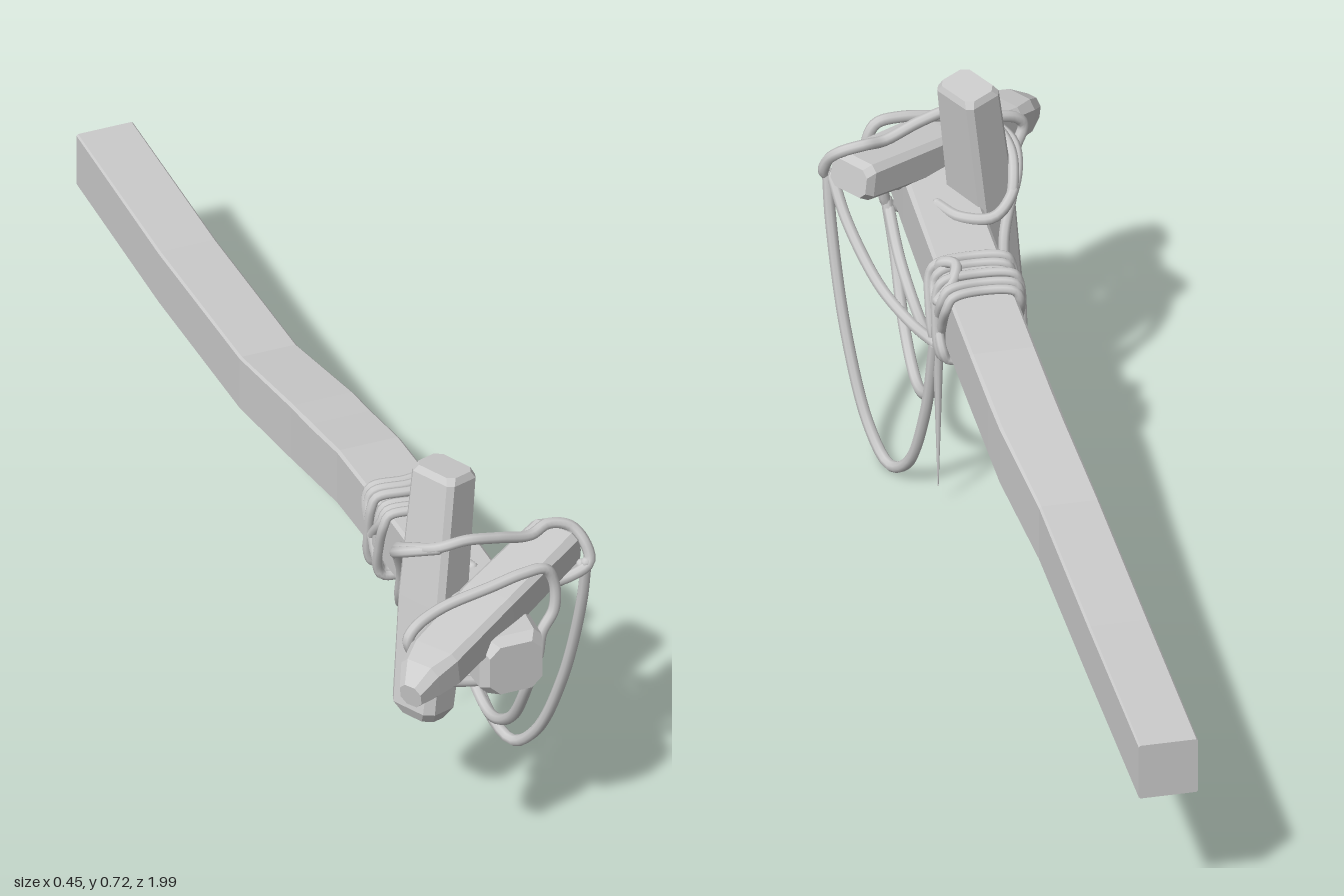
import * as THREE from 'three';

const V = (a) => new THREE.Vector3(...a);
const wood = new THREE.MeshStandardMaterial({ color: 0xcccccc, flatShading: true });
const ropeMat = new THREE.MeshStandardMaterial({ color: 0xcccccc });

// Rough-hewn timber: chamfered rectangles [x, y, z, width, height, chamfer] lofted along a direction
function timber(name, sections, dir, upHint) {
  const d = V(dir).normalize();
  const right = V(upHint).cross(d).normalize();
  const up = d.clone().cross(right);
  const pos = [], index = [], n = 8;
  for (const [x, y, z, w, h, c = 0.008] of sections) {
    const a = w / 2, b = h / 2;
    const ring = [[a, c - b], [a, b - c], [a - c, b], [c - a, b], [-a, b - c], [-a, c - b], [c - a, -b], [a - c, -b]];
    for (const [u, v] of ring) {
      pos.push(...V([x, y, z]).addScaledVector(right, u).addScaledVector(up, v).toArray());
    }
  }
  const last = (sections.length - 1) * n;
  for (let i = 0; i < last; i += n) {
    for (let j = 0; j < n; j++) {
      const k = (j + 1) % n;
      index.push(i + j, i + k, i + n + k, i + j, i + n + k, i + n + j);
    }
  }
  for (let j = 1; j < n - 1; j++) index.push(0, j + 1, j, last, last + j, last + j + 1);
  const g = new THREE.BufferGeometry();
  g.setAttribute('position', new THREE.Float32BufferAttribute(pos, 3));
  g.setIndex(index);
  const flat = g.toNonIndexed();
  flat.computeVertexNormals();
  const mesh = new THREE.Mesh(flat, wood);
  mesh.name = name;
  return mesh;
}

// Rope through a few points
function rope(name, pts, closed = false, r = 0.0105) {
  const curve = new THREE.CatmullRomCurve3(pts.map(V), closed, 'centripetal');
  const mesh = new THREE.Mesh(new THREE.TubeGeometry(curve, pts.length * 6, r, 8, closed), ropeMat);
  mesh.name = name;
  if (!closed) {
    for (const p of [pts[0], pts[pts.length - 1]]) {
      const cap = new THREE.Mesh(new THREE.SphereGeometry(r, 8, 6), ropeMat);
      cap.position.set(...p);
      cap.name = name + 'End';
      mesh.add(cap);
    }
  }
  return mesh;
}

export function createModel() {
  const group = new THREE.Group();

  // Long bent shaft
  group.add(timber('shaft', [
    [-0.015, 0.304, -1, 0.108, 0.11, 0.003],
    [-0.015, 0.309, -0.6, 0.11, 0.112, 0.004],
    [-0.011, 0.328, -0.22, 0.11, 0.114, 0.004],
    [0.006, 0.36, 0, 0.12, 0.12, 0.005],
    [0.009, 0.373, 0.08, 0.121, 0.118, 0.006],
    [0.014, 0.393, 0.2, 0.12, 0.117, 0.005],
    [0.015, 0.408, 0.4, 0.12, 0.117, 0.005],
    [0.012, 0.433, 0.75, 0.12, 0.116, 0.008],
    [0.01, 0.436, 0.895, 0.118, 0.116, 0.015],
    [0.011, 0.437, 0.92, 0.1, 0.1, 0.02],
  ], [0, 0, 1], [0, 1, 0]));

  // Slanting crossbar with a hewn tip
  group.add(timber('crossbar', [
    [0.183, 0.533, 0.697, 0.085, 0.055, 0.012],
    [0.17, 0.532, 0.707, 0.1, 0.07, 0.012],
    [0, 0.507, 0.82, 0.105, 0.075, 0.01],
    [-0.14, 0.482, 0.913, 0.1, 0.075, 0.012],
    [-0.178, 0.474, 0.938, 0.08, 0.072, 0.015],
    [-0.209, 0.463, 0.967, 0.045, 0.045, 0.012],
  ], [-0.39, -0.07, 0.26], [0, 1, 0]));

  // Upright stake leaning against the shaft
  group.add(timber('stake', [
    [-0.085, 0.228, 0.71, 0.055, 0.075, 0.015],
    [-0.083, 0.25, 0.708, 0.08, 0.1, 0.015],
    [-0.057, 0.46, 0.69, 0.082, 0.108, 0.01],
    [-0.027, 0.705, 0.667, 0.076, 0.1, 0.01],
    [-0.025, 0.717, 0.665, 0.064, 0.088, 0.012],
  ], [0.06, 0.49, -0.045], [-0.45, 0, -0.9]));

  // Wraps around the shaft: [z at top, z at bottom]
  const wraps = new THREE.Group();
  wraps.name = 'shaftWraps';
  const slants = [[0.355, 0.4], [0.375, 0.42], [0.4, 0.385], [0.42, 0.41], [0.44, 0.37], [0.46, 0.43]];
  slants.forEach(([zt, zb], i) => {
    const o = 0.006 + 0.004 * (i % 3), zm = (zt + zb) / 2;
    const l = -0.046 - o, r = 0.076 + o, t = 0.468 + o, b = 0.348 - o;
    wraps.add(rope('wrap', [
      [l + 0.01, t, zt], [0.015, t + 0.004, zt + 0.008], [r - 0.01, t, zt], [r, t - 0.02, zt], [r + 0.003, 0.41, zm],
      [r, b + 0.02, zb], [r - 0.01, b, zb], [0.015, b - 0.004, zb], [l + 0.01, b, zb],
      [l, b + 0.02, zb], [l - 0.003, 0.41, zm], [l, t - 0.02, zt],
    ], true, 0.009));
  });
  // Knot standing above the wraps
  wraps.add(rope('knot', [[0.075, 0.46, 0.46], [0.07, 0.49, 0.45], [0.05, 0.497, 0.43], [0.06, 0.485, 0.4], [0.09, 0.45, 0.39]]));
  group.add(wraps);

  // Lashing around crossbar and shaft
  group.add(rope('frontLashing', [
    [-0.155, 0.52, 0.85], [-0.1, 0.538, 0.835], [0, 0.557, 0.83], [0.06, 0.566, 0.825], [0.105, 0.562, 0.82],
    [0.122, 0.53, 0.82], [0.12, 0.475, 0.825], [0.095, 0.435, 0.83], [0.083, 0.385, 0.835], [0.06, 0.37, 0.84],
    [0, 0.365, 0.84], [-0.09, 0.383, 0.84], [-0.14, 0.415, 0.845], [-0.155, 0.46, 0.85], [-0.17, 0.5, 0.855],
  ], true));

  // Rope from the wraps, round the stake and over the crossbar end
  group.add(rope('upperLashing', [
    [0.07, 0.345, 0.43], [0.02, 0.332, 0.47], [-0.04, 0.325, 0.51], [-0.065, 0.37, 0.55], [-0.075, 0.45, 0.585],
    [-0.1, 0.53, 0.625], [-0.105, 0.57, 0.68], [-0.07, 0.603, 0.745], [-0.02, 0.613, 0.755], [0.04, 0.6, 0.75],
    [0.11, 0.578, 0.735], [0.15, 0.583, 0.72], [0.19, 0.572, 0.725], [0.21, 0.545, 0.745], [0.213, 0.51, 0.76],
    [0.18, 0.494, 0.765], [0.12, 0.485, 0.76], [0.085, 0.48, 0.74],
  ]));
  // Loop behind the stake
  group.add(rope('stakeLoop', [
    [-0.07, 0.6, 0.745], [-0.115, 0.57, 0.69], [-0.1, 0.52, 0.62], [-0.055, 0.49, 0.58], [0, 0.485, 0.6], [0.03, 0.48, 0.66],
  ]));

  // Hanging loops between crossbar and wraps
  group.add(rope('longLoop', [
    [0.207, 0.51, 0.76], [0.205, 0.42, 0.745], [0.19, 0.22, 0.69], [0.165, 0.065, 0.62], [0.142, 0.014, 0.56],
    [0.12, 0.05, 0.5], [0.1, 0.18, 0.45], [0.09, 0.34, 0.42],
  ]));
  group.add(rope('middleLoop', [
    [0.083, 0.39, 0.835], [0.075, 0.3, 0.805], [0.075, 0.19, 0.73], [0.075, 0.133, 0.63], [0.075, 0.16, 0.54],
    [0.078, 0.24, 0.465], [0.085, 0.35, 0.42],
  ]));
  group.add(rope('shallowLoop', [
    [0.08, 0.375, 0.83], [0.078, 0.32, 0.76], [0.075, 0.285, 0.65], [0.078, 0.293, 0.54], [0.085, 0.35, 0.43],
  ]));
  group.add(rope('sideLoop', [
    [0.2, 0.505, 0.755], [0.185, 0.44, 0.7], [0.15, 0.365, 0.6], [0.115, 0.338, 0.51], [0.09, 0.345, 0.42],
  ]));

  // Frayed loose end
  const tail = new THREE.Mesh(new THREE.CylinderGeometry(0.0105, 0.001, 0.31, 8), ropeMat);
  tail.name = 'looseEnd';
  tail.position.set(0.083, 0.2, 0.42);
  group.add(tail);

  return group;
}
